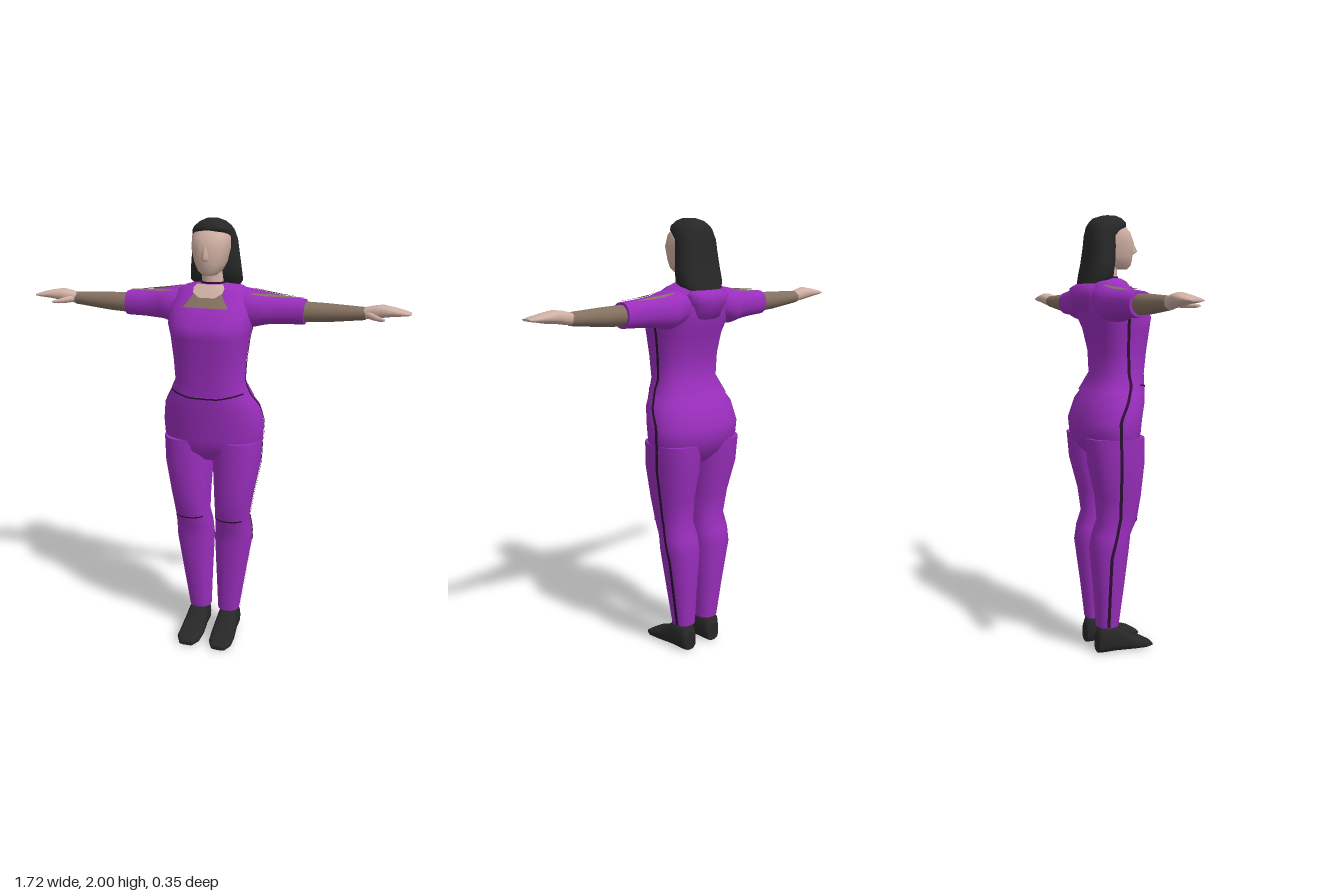
import * as THREE from 'three';

const mat = (name, color, side = THREE.FrontSide) => {
  const m = new THREE.MeshStandardMaterial({ color, side });
  m.name = name;
  return m;
};

// Places (t along the axis, a, b) in space.
const PLACE = {
  y: (t, a, b) => [a, t, b],
  x: (t, a, b) => [t, a, b],
  z: (t, a, b) => [a, b, t],
};

// Loft of rounded sections [t, a0, a1, b0, b1] along an axis, with flat end caps.
function loft(axis, sections, { p = 2, n = 24, mirror = 1 } = {}) {
  const pos = [], idx = [], put = PLACE[axis];
  const pw = v => Math.sign(v) * Math.abs(v) ** (2 / p);
  const add = (t, a, b) => {
    const q = put(t, a, b);
    pos.push(q[0] * mirror, q[1], q[2]);
  };
  const ring = ([t, a0, a1, b0, b1]) => {
    for (let i = 0; i < n; i++) {
      const w = (i / n) * Math.PI * 2;
      add(t, (a0 + a1) / 2 + ((a1 - a0) / 2) * pw(Math.cos(w)), (b0 + b1) / 2 + ((b1 - b0) / 2) * pw(Math.sin(w)));
    }
  };
  sections.forEach(ring);
  for (let s = 0; s < sections.length - 1; s++) {
    for (let i = 0; i < n; i++) {
      const a = s * n + i, b = s * n + ((i + 1) % n);
      idx.push(a, b, a + n, b, b + n, a + n);
    }
  }
  [sections[0], sections[sections.length - 1]].forEach((s, end) => {
    const base = pos.length / 3;
    ring(s);
    add(s[0], (s[1] + s[2]) / 2, (s[3] + s[4]) / 2);
    for (let i = 0; i < n; i++) {
      const a = base + i, b = base + ((i + 1) % n);
      idx.push(...(end ? [a, b, base + n] : [b, a, base + n]));
    }
  });
  // Turn the faces outward when the volume comes out negative.
  let vol = 0;
  const v = i => new THREE.Vector3().fromArray(pos, i * 3);
  for (let i = 0; i < idx.length; i += 3) vol += v(idx[i]).dot(v(idx[i + 1]).cross(v(idx[i + 2])));
  if (vol < 0) idx.reverse();
  return finish(pos, idx);
}

function finish(pos, idx) {
  const g = new THREE.BufferGeometry();
  g.setAttribute('position', new THREE.Float32BufferAttribute(pos, 3));
  g.setIndex(idx);
  g.computeVertexNormals();
  return g;
}

// Thin patch from rows of points, each row the same length.
function patch(rows) {
  const n = rows[0].length, idx = [];
  for (let r = 0; r < rows.length - 1; r++) {
    for (let i = 0; i < n - 1; i++) {
      const a = r * n + i;
      idx.push(a, a + n, a + 1, a + 1, a + n, a + n + 1);
    }
  }
  return finish(rows.flat(2), idx);
}

// Interpolated value in a table of rows sorted by their first entry.
function at(table, t) {
  let i = 0;
  while (i < table.length - 2 && t > table[i + 1][0]) i++;
  const k = Math.min(1, Math.max(0, (t - table[i][0]) / (table[i + 1][0] - table[i][0])));
  return table[i].map((v, j) => v + (table[i + 1][j] - v) * k);
}

// Outer height of a loft on one of its two cross axes.
function reach(sections, t, other, axis, p) {
  const s = at(sections, t), [o, m] = axis === 'a' ? [3, 1] : [1, 3];
  const u = (other - (s[o] + s[o + 1]) / 2) / ((s[o + 1] - s[o]) / 2);
  if (Math.abs(u) >= 1) return (s[m] + s[m + 1]) / 2;
  return (s[m] + s[m + 1]) / 2 + ((s[m + 1] - s[m]) / 2) * (1 - Math.abs(u) ** p) ** (1 / p);
}

// Symmetric body sections: [y, half width, back z, front z]
const sym = rows => rows.map(([y, w, b, f]) => [y, -w, w, b, f]);
const TORSO = sym([[1.22, 0.192, -0.12, 0.142], [1.3, 0.157, -0.075, 0.145], [1.4, 0.163, -0.08, 0.155],
  [1.5, 0.175, -0.105, 0.17], [1.555, 0.188, -0.13, 0.177], [1.63, 0.19, -0.14, 0.118],
  [1.69, 0.165, -0.13, 0.07], [1.71, 0.13, -0.11, 0.055], [1.725, 0.07, -0.08, 0.04]]);
const PELVIS = sym([[0.92, 0.15, -0.09, 0.06], [0.97, 0.21, -0.14, 0.108], [1.03, 0.231, -0.166, 0.12],
  [1.09, 0.235, -0.172, 0.126], [1.18, 0.22, -0.142, 0.143], [1.24, 0.182, -0.102, 0.147]]);
const LEG = [[0.125, 0.02, 0.123, -0.092, 0.012], [0.3, 0.014, 0.15, -0.108, 0.03], [0.5, 0.006, 0.182, -0.13, 0.048],
  [0.57, 0.01, 0.182, -0.118, 0.055], [0.64, 0.018, 0.176, -0.096, 0.09], [0.75, 0.014, 0.195, -0.108, 0.104],
  [0.9, 0.006, 0.222, -0.145, 0.115], [1.02, 0.004, 0.228, -0.155, 0.112]];
const SLEEVE = [[0.06, 1.57, 1.715, -0.12, 0.04], [0.18, 1.535, 1.698, -0.14, 0.065], [0.24, 1.548, 1.685, -0.122, 0.03],
  [0.32, 1.555, 1.675, -0.104, 0.022], [0.41, 1.558, 1.667, -0.088, 0.02]];

export function createModel() {
  const root = new THREE.Group();
  const suit = mat('purple suit', 0x9a2ebd), skin = mat('skin', 0xcfafa3, THREE.DoubleSide);
  const under = mat('brown undershirt', 0x84705f, THREE.DoubleSide), black = mat('black', 0x272727);
  const line = mat('dark seam', 0x2a1030, THREE.DoubleSide);
  const add = (name, geo, m) => {
    const mesh = new THREE.Mesh(geo, m);
    mesh.name = name;
    root.add(mesh);
  };

  // Body
  add('torso', loft('y', TORSO, { p: 2.5, n: 32 }), suit);
  add('pelvis', loft('y', PELVIS, { p: 2.2, n: 32 }), suit);
  add('backCollar', loft('y', sym([[1.54, 0.04, -0.08, -0.04], [1.58, 0.075, -0.145, -0.04],
    [1.64, 0.1, -0.168, -0.04], [1.68, 0.115, -0.172, -0.04], [1.7, 0.1, -0.14, -0.04]]), { p: 2.6 }), suit);

  // Neckline panels and waist seam laid on the torso
  const across = (y, x0, x1, lift = 0.005) => Array.from({ length: 13 }, (_, i) => {
    const x = x0 + ((x1 - x0) * i) / 12;
    return [x, y, reach(TORSO, y, x, 'b', 2.5) + lift];
  });
  add('necklinePanel', patch([[1.685, 0.065], [1.66, 0.08], [1.632, 0.102]].map(([y, w]) => across(y, -w, w))), under);
  add('upperChest', patch([[1.724, 0.058], [1.71, 0.07], [1.69, 0.066], [1.672, 0.035]].map(([y, w]) => across(y, -w, w, 0.008))), skin);
  const waist = lift => Array.from({ length: 17 }, (_, i) => {
    const x = -0.168 + (0.336 * i) / 16, y = 1.232 + Math.max(0, Math.abs(x) - 0.07) * 0.2 + lift;
    return [x, y, Math.max(reach(TORSO, y, x, 'b', 2.5), reach(PELVIS, y, x, 'b', 2.2)) + 0.004];
  });
  add('waistSeam', patch([waist(0.007), waist(0)]), line);

  // Head
  add('neck', loft('y', sym([[1.68, 0.058, -0.07, 0.045], [1.73, 0.05, -0.06, 0.036], [1.82, 0.048, -0.06, 0.032]])), skin);
  add('choker', loft('y', sym([[1.724, 0.054, -0.064, 0.041], [1.732, 0.053, -0.063, 0.04]])), line);
  add('head', loft('y', sym([[1.766, 0.03, -0.02, 0.088], [1.785, 0.052, -0.05, 0.105], [1.82, 0.07, -0.07, 0.11],
    [1.88, 0.084, -0.08, 0.116], [1.93, 0.084, -0.08, 0.095], [1.965, 0.062, -0.07, 0.06], [1.98, 0.03, -0.04, 0.03]]), { p: 2.2 }), skin);
  add('nose', loft('y', sym([[1.828, 0.012, 0.08, 0.112], [1.845, 0.017, 0.08, 0.141], [1.89, 0.008, 0.08, 0.118]]), { n: 10 }), skin);
  add('hair', loft('y', sym([[1.685, 0.085, -0.142, -0.06], [1.73, 0.118, -0.132, 0], [1.79, 0.113, -0.12, 0.01],
    [1.86, 0.105, -0.11, 0.015], [1.91, 0.099, -0.106, 0.02], [1.95, 0.09, -0.1, 0.07], [1.968, 0.078, -0.09, 0.074],
    [1.988, 0.053, -0.07, 0.058], [2.0, 0.025, -0.03, 0.03]]), { p: 2.4 }), black);

  for (const [side, s] of [['left', 1], ['right', -1]]) {
    const part = (name, axis, rows, m, p = 2, n = 24) => add(`${side}${name}`, loft(axis, rows, { p, n, mirror: s }), m);

    // Arm
    part('Sleeve', 'x', SLEEVE, suit, 2.3);
    part('Forearm', 'x', [[0.38, 1.566, 1.658, -0.078, 0.01], [0.5, 1.573, 1.655, -0.075, 0.008], [0.67, 1.592, 1.647, -0.062, -0.004]], under);
    part('Hand', 'x', [[0.66, 1.595, 1.645, -0.06, -0.006], [0.7, 1.6, 1.655, -0.066, 0.002], [0.74, 1.607, 1.661, -0.071, 0.01],
      [0.79, 1.615, 1.652, -0.07, 0.012], [0.835, 1.62, 1.642, -0.063, 0.013], [0.86, 1.625, 1.634, -0.05, 0.008]], skin, 2.4);
    part('Thumb', 'x', [[0.665, 1.606, 1.635, -0.04, -0.008], [0.7, 1.6, 1.63, -0.02, 0.024],
      [0.735, 1.6, 1.62, 0.014, 0.043], [0.758, 1.604, 1.614, 0.034, 0.049]], skin, 2, 10);

    // Shoulder slits showing the undershirt: [x, z, half width]
    const slit = rows => patch(rows.map(([x, z, w]) => [-1, 0, 1].map(k =>
      [s * x, reach(SLEEVE, x, z + k * w, 'a', 2.3) + 0.005, z + k * w])));
    add(`${side}FrontSlit`, slit([[0.18, 0.028, 0.003], [0.23, 0.002, 0.007], [0.28, -0.012, 0.01], [0.34, -0.022, 0.009], [0.4, -0.03, 0.006]]), under);
    add(`${side}BackSlit`, slit([[0.17, -0.095, 0.003], [0.23, -0.088, 0.008], [0.29, -0.076, 0.008], [0.35, -0.066, 0.002]]), under);

    // Leg and shoe
    part('Leg', 'y', LEG, suit, 2.3);
    part('Shoe', 'z', [[-0.092, 0.04, 0.11, 0, 0.085], [-0.075, 0.03, 0.122, 0, 0.128], [-0.01, 0.026, 0.126, 0, 0.132],
      [0.03, 0.022, 0.13, 0, 0.1], [0.08, 0.02, 0.135, 0, 0.064], [0.14, 0.024, 0.135, 0, 0.042], [0.177, 0.045, 0.115, 0.002, 0.02]], black, 2.8);
    const knee = y => Array.from({ length: 11 }, (_, i) => {
      const x = 0.03 + 0.013 * i;
      return [s * x, y, reach(LEG, y, x, 'b', 2.3) + 0.004];
    });
    add(`${side}KneeSeam`, patch([knee(0.636), knee(0.629)]), line);

    // Side stripe from chest to cuff: [y, z]
    const path = [[0.13, -0.055], [0.48, -0.063], [0.65, -0.02], [0.88, -0.033], [1.1, -0.045], [1.25, 0.03], [1.55, 0.015]];
    const stripe = Array.from({ length: 60 }, (_, i) => {
      const y = 0.13 + (1.42 * i) / 59, z = at(path, y)[1];
      return [-0.007, 0.007].map(d => {
        const xs = [];
        if (y < 1.02) xs.push(reach(LEG, y, z + d, 'a', 2.3));
        if (y > 0.92 && y < 1.24) xs.push(reach(PELVIS, y, z + d, 'a', 2.2));
        if (y > 1.22) xs.push(reach(TORSO, y, z + d, 'a', 2.5));
        return [s * (Math.max(...xs) + 0.004), y, z + d];
      });
    });
    add(`${side}SideStripe`, patch(stripe), line);
  }
  return root;
}
